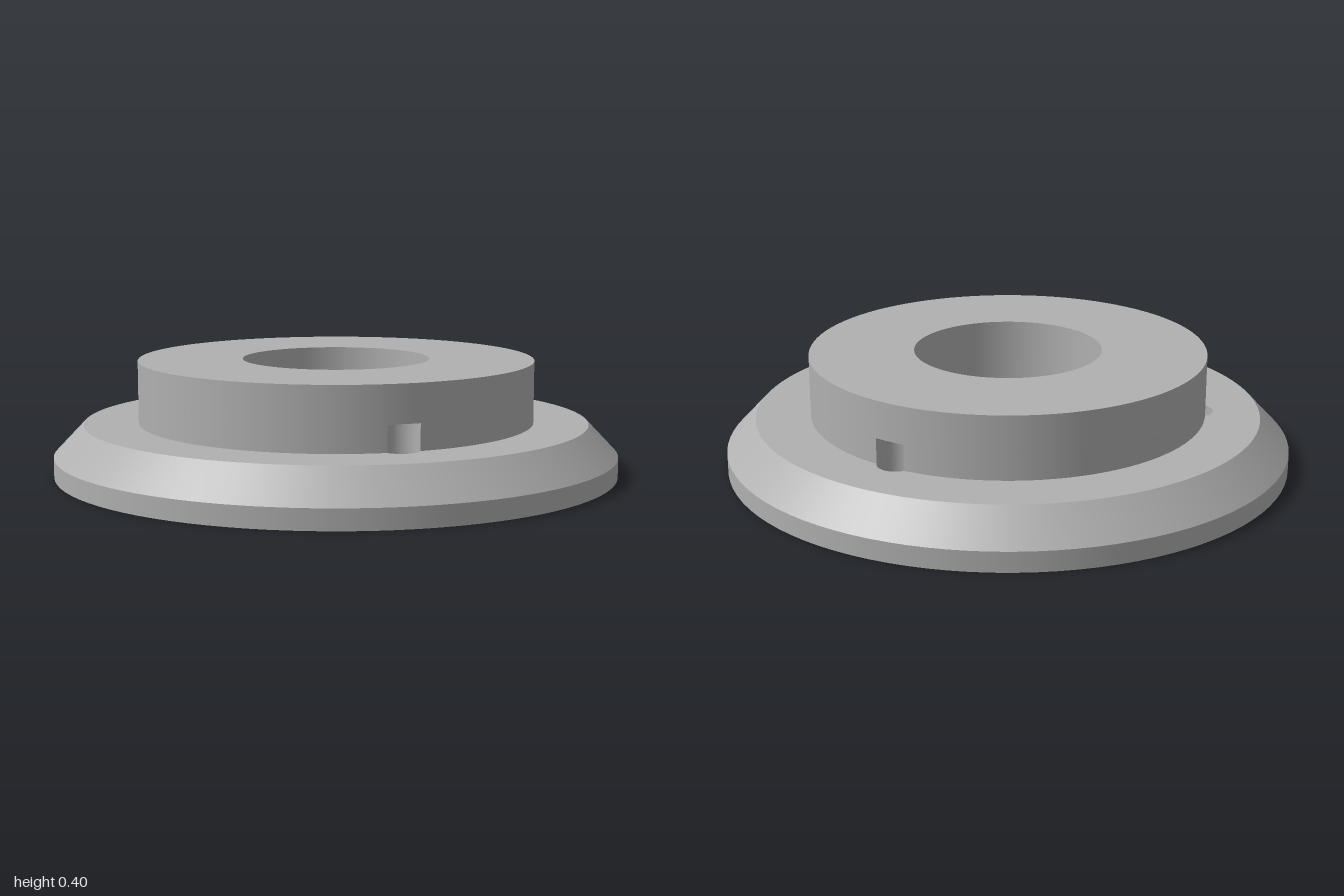
import * as THREE from 'three';

const TAU = Math.PI * 2;
const RIM = 1, SHOULDER = 0.895, HUB = 0.702, BORE = 0.332;   // radii
const RIM_Y = 0.07, FLANGE_Y = 0.18, HOLE_Y = 0.27, TOP_Y = 0.4; // heights
const BOLT_C = 0.667, BOLT_R = 0.065;                          // bolt circle and hole radius
const BOLTS = [Math.PI / 3, Math.PI, 5 * Math.PI / 3];         // angles from +z towards +x

// Where a bolt hole crosses the hub wall: half angles seen from each centre
const cross = (BOLT_C ** 2 + HUB ** 2 - BOLT_R ** 2) / (2 * BOLT_C);
const hubHalf = Math.acos(cross / HUB);
const boltHalf = Math.acos((cross - BOLT_C) / BOLT_R);

const boltCentre = (a) => [BOLT_C * Math.sin(a), BOLT_C * Math.cos(a)];

// Points (x, z) along an arc
function arc(r, from = 0, to = TAU, [cx, cz] = [0, 0], n = 24) {
  return Array.from({ length: n + 1 }, (_, i) => {
    const a = from + (to - from) * i / n;
    return new THREE.Vector2(cx + r * Math.sin(a), cz + r * Math.cos(a));
  });
}
const circle = (r, centre, n = 96) => arc(r, 0, TAU, centre, n).slice(0, -1);

// Flat horizontal face with holes, facing up or down
function cap(outer, holes, y, up) {
  const flip = (pts) => pts.map((p) => new THREE.Vector2(p.x, up ? -p.y : p.y));
  const shape = new THREE.Shape(flip(outer));
  shape.holes = holes.map((h) => new THREE.Path(flip(h)));
  return new THREE.ShapeGeometry(shape).rotateX(up ? -Math.PI / 2 : Math.PI / 2).translate(0, y, 0);
}

// Round wall from (r0, y0) to (r1, y1); rising faces outward, falling faces inward
function wall(r0, y0, r1, y1, start = 0, length = TAU, n = 96) {
  const profile = [new THREE.Vector2(r0, y0), new THREE.Vector2(r1, y1)];
  return new THREE.LatheGeometry(profile, n, start, length);
}

export function createModel() {
  const grey = new THREE.MeshStandardMaterial({ color: 0xb0b0b0, side: THREE.DoubleSide });
  grey.name = 'grey metal';
  const model = new THREE.Group();
  model.name = 'flangedHub';

  const part = (name, ...geometries) => {
    const group = new THREE.Group();
    group.name = name;
    geometries.forEach((g) => {
      const mesh = new THREE.Mesh(g, grey);
      mesh.name = name + 'Face';
      group.add(mesh);
    });
    model.add(group);
    return group;
  };

  // Hub outline bulging out around the bolt holes
  const notched = BOLTS.flatMap((a) => [
    ...arc(HUB, a - TAU / 3 + hubHalf, a - hubHalf, [0, 0], 32),
    ...arc(BOLT_R, a - boltHalf, a + boltHalf, boltCentre(a), 12).slice(1, -1),
  ]);

  // Flange with bevelled rim
  part('flange',
    cap(circle(RIM), [circle(BORE), ...BOLTS.map((a) => circle(BOLT_R, boltCentre(a), 32))], 0, false),
    wall(RIM, 0, RIM, RIM_Y),
    wall(RIM, RIM_Y, SHOULDER, FLANGE_Y),
    cap(circle(SHOULDER), [notched], FLANGE_Y, true));

  // Raised hub, its wall interrupted by the bolt holes near the flange
  part('hub',
    wall(HUB, HOLE_Y, HUB, TOP_Y),
    ...BOLTS.map((a) => wall(HUB, FLANGE_Y, HUB, HOLE_Y, a + hubHalf, TAU / 3 - 2 * hubHalf, 32)),
    cap(circle(HUB), [circle(BORE)], TOP_Y, true));

  // Central bore
  part('bore', wall(BORE, TOP_Y, BORE, 0));

  // Blind bolt holes cutting up into the hub
  for (const a of BOLTS) {
    const c = boltCentre(a);
    const inner = TAU - 2 * boltHalf;
    const ceiling = [
      ...arc(HUB, a - hubHalf, a + hubHalf, [0, 0], 8),
      ...arc(BOLT_R, a + boltHalf, a + boltHalf + inner, c, 24).slice(1, -1),
    ];
    part('boltHole',
      wall(BOLT_R, FLANGE_Y, BOLT_R, 0, 0, TAU, 32).translate(c[0], 0, c[1]),
      wall(BOLT_R, HOLE_Y, BOLT_R, FLANGE_Y, a + boltHalf, inner, 24).translate(c[0], 0, c[1]),
      cap(ceiling, [], HOLE_Y, false));
  }

  return model;
}
